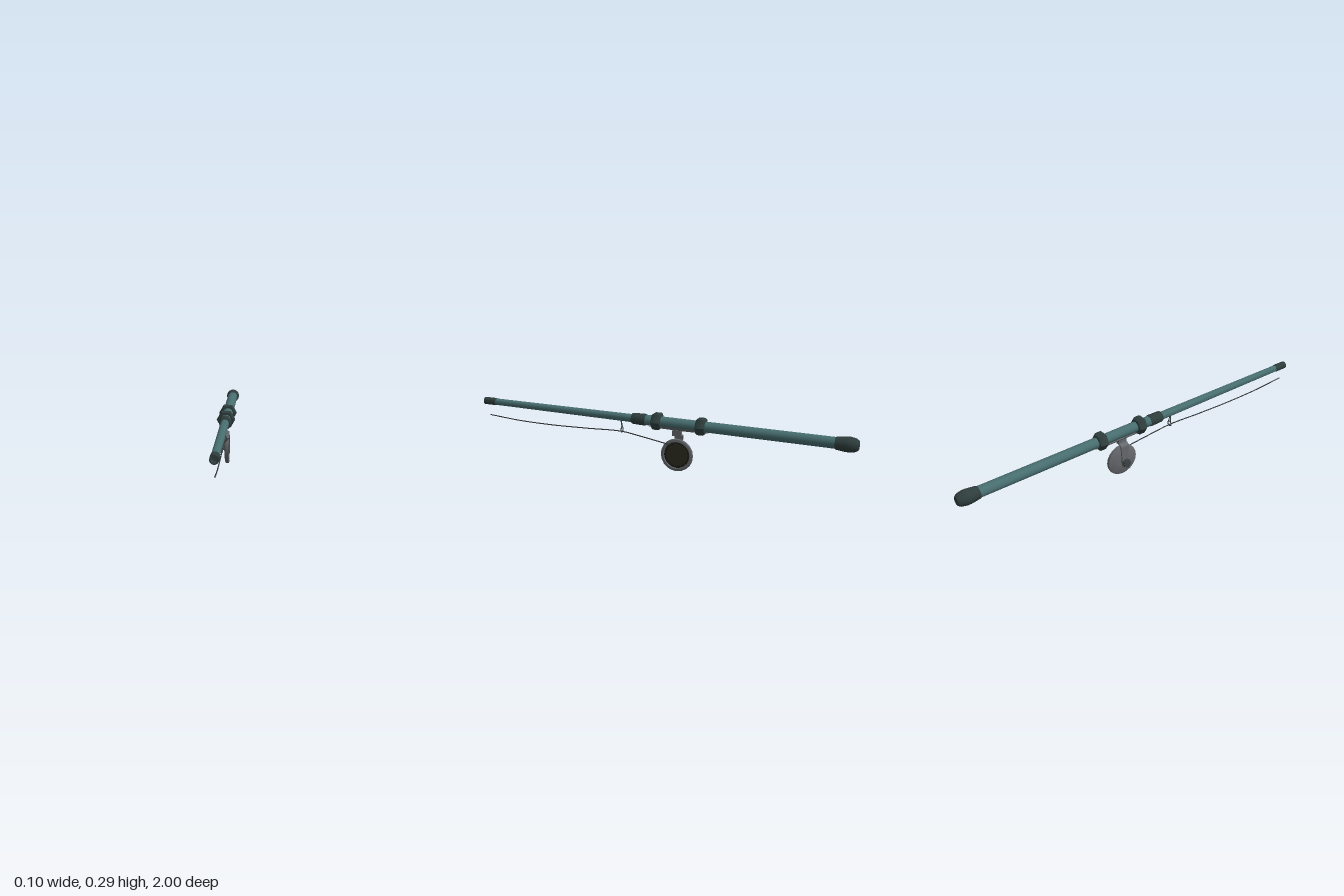
import * as THREE from 'three';
import { toCreasedNormals } from 'three/addons/utils/BufferGeometryUtils.js';

const paint = (name, color, side = THREE.FrontSide) => {
  const m = new THREE.MeshStandardMaterial({ color, side });
  m.name = name;
  return m;
};

export function createModel() {
  const teal = paint('tealBlank', 0x486e70);
  const rubber = paint('darkGreenRubber', 0x2e3e3d);
  const metal = paint('greyMetal', 0x66696d, THREE.DoubleSide);
  const darkMetal = paint('darkGreyMetal', 0x3c4446);
  const olive = paint('oliveSpool', 0x2f2d20);
  const shadowRing = paint('blackRing', 0x1f211d);
  const cord = paint('lineCord', 0x34383a);

  const model = new THREE.Group();
  model.name = 'fishingRod';

  const add = (parent, name, geometry, material) => {
    const mesh = new THREE.Mesh(geometry, material);
    mesh.name = name;
    parent.add(mesh);
    return mesh;
  };
  // profile points are [radius, position along the axis], rising along it
  const turned = (profile, sides, phi = 0) => toCreasedNormals(
    new THREE.LatheGeometry(profile.map(([r, a]) => new THREE.Vector2(r, a)), sides, phi), 0.6);
  const alongZ = (profile, sides = 16, phi = 0) => turned(profile, sides, phi).rotateX(Math.PI / 2);
  const alongX = (profile, sides = 20) => turned(profile, sides).rotateZ(-Math.PI / 2);

  // rod parts share one axis that rises slightly toward the tip
  const rod = new THREE.Group();
  rod.name = 'rod';
  rod.position.y = 0.25;
  rod.rotation.x = -0.025;
  model.add(rod);

  add(rod, 'rearBlank', alongZ([[0.028, -0.92], [0.0265, 0.08]]), teal);
  add(rod, 'frontBlank', alongZ([[0.021, 0.08], [0.0175, 0.95]]), teal);
  add(rod, 'buttCap', alongZ([[0, -0.998], [0.022, -0.995], [0.032, -0.982], [0.037, -0.955],
    [0.037, -0.935], [0.031, -0.888], [0.027, -0.885]]), rubber);
  add(rod, 'jointSleeve', alongZ([[0.02, 0.06], [0.029, 0.062], [0.03, 0.07], [0.0285, 0.128],
    [0.026, 0.136], [0.018, 0.137]]), rubber);
  // hollow end sleeve
  add(rod, 'tipSleeve', alongZ([[0.017, 0.93], [0.02, 0.932], [0.0195, 1], [0.015, 1],
    [0.014, 0.95], [0, 0.95]]), rubber);

  // hexagonal collars clamping the reel foot
  for (const [name, z] of [['frontCollar', 0.002], ['rearCollar', -0.23]]) {
    const collar = add(rod, name, alongZ([[0.026, -0.024], [0.04, -0.023], [0.046, -0.015],
      [0.046, 0.015], [0.04, 0.023], [0.026, 0.024]], 6, Math.PI / 2), rubber);
    collar.position.z = z;
  }

  // curved foot plate under the rod, narrowing at both ends
  const foot = new THREE.CylinderGeometry(0.033, 0.033, 0.31, 12, 12, true, -1.1, 2.2);
  foot.rotateX(Math.PI / 2);
  const p = foot.attributes.position;
  for (let i = 0; i < p.count; i++) {
    const t = Math.abs(p.getZ(i)) / 0.155;
    const angle = Math.atan2(p.getX(i), -p.getY(i)) * (1 - 0.55 * t ** 6);
    const r = 0.035 - 0.004 * t ** 4;
    p.setXY(i, Math.sin(angle) * r, -Math.cos(angle) * r);
  }
  foot.computeVertexNormals();
  add(rod, 'reelFoot', foot, metal).position.z = -0.113;

  // reel
  const reel = new THREE.Group();
  reel.name = 'reel';
  reel.position.set(0, 0.085, -0.105);
  model.add(reel);
  add(reel, 'spoolHousing', alongX([[0, -0.013], [0.03, -0.013], [0.074, -0.009], [0.083, -0.004],
    [0.085, 0.002], [0.084, 0.01], [0.08, 0.012], [0.07, 0.012], [0.067, 0.007], [0, 0.007]]), metal);
  add(reel, 'spoolRing', alongX([[0.067, 0.006], [0.067, 0.008], [0.056, 0.009], [0, 0.009]]), shadowRing);
  add(reel, 'spoolFace', alongX([[0.056, 0.008], [0.055, 0.0105], [0, 0.0105]]), olive);
  add(reel, 'hub', alongX([[0.016, -0.035], [0.016, -0.012]], 12), metal);

  // fluted knob
  const knobShape = new THREE.Shape();
  for (let i = 0; i < 20; i++) {
    const r = i % 2 ? 0.018 : 0.021, a = i * Math.PI / 10;
    knobShape[i ? 'lineTo' : 'moveTo'](Math.cos(a) * r, Math.sin(a) * r);
  }
  const knob = new THREE.ExtrudeGeometry(knobShape, {
    depth: 0.013, bevelSize: 0.002, bevelThickness: 0.002, bevelSegments: 1 });
  add(reel, 'knob', knob.rotateY(-Math.PI / 2), darkMetal).position.x = -0.035;

  // bent bracket joining the foot to the hub
  const bend = new THREE.Shape();
  bend.moveTo(-0.03, -0.03);
  bend.lineTo(-0.022, -0.03);
  bend.lineTo(-0.021, 0.088);
  bend.quadraticCurveTo(-0.02, 0.096, -0.008, 0.098);
  bend.lineTo(0.012, 0.1);
  bend.lineTo(0.012, 0.128);
  bend.lineTo(-0.008, 0.128);
  bend.lineTo(-0.008, 0.106);
  bend.quadraticCurveTo(-0.028, 0.104, -0.029, 0.09);
  const bracket = new THREE.ExtrudeGeometry(bend, { depth: 0.046, bevelEnabled: false, curveSegments: 5 });
  bracket.translate(0, 0, -0.023);
  const b = bracket.attributes.position;
  for (let i = 0; i < b.count; i++) if (b.getY(i) < 0) b.setZ(i, b.getZ(i) * 0.6);
  bracket.computeVertexNormals();
  add(reel, 'bracket', bracket, metal);

  // line guide: two legs and a ring
  const tube = (points, r, n) => new THREE.TubeGeometry(
    new THREE.CatmullRomCurve3(points.map(q => new THREE.Vector3(...q))), n, r, 6);
  const guide = new THREE.Group();
  guide.name = 'lineGuide';
  guide.position.z = 0.195;
  model.add(guide);
  add(guide, 'guideRing', new THREE.TorusGeometry(0.013, 0.003, 6, 16), darkMetal).position.y = 0.188;
  for (const s of [-1, 1]) {
    add(guide, s < 0 ? 'guideLegRight' : 'guideLegLeft',
      tube([[s * 0.003, 0.24, 0.004], [s * 0.004, 0.218, 0.002], [s * 0.011, 0.193, 0]], 0.0022, 8), darkMetal);
  }

  // slack line from the reel through the guide toward the tip
  add(model, 'fishingLine', tube([[0.014, 0.138, -0.07], [0.011, 0.15, 0], [0.006, 0.166, 0.1],
    [0.002, 0.179, 0.195], [0, 0.176, 0.4], [0, 0.175, 0.6], [0, 0.182, 0.8], [0, 0.198, 0.975]],
    0.0028, 48), cord);

  return model;
}
